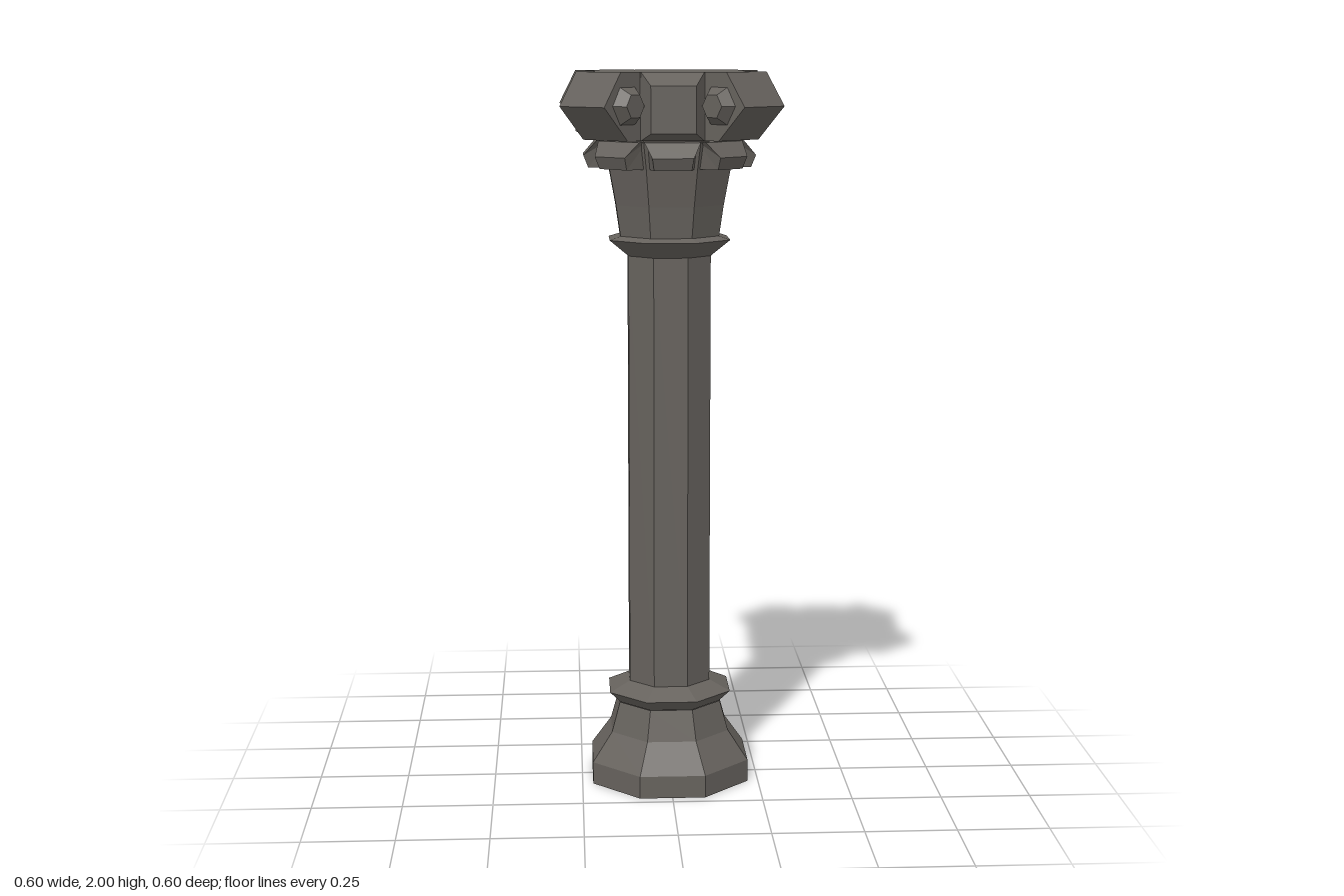
import * as THREE from 'three';

const SIDES = 8;
const material = new THREE.MeshStandardMaterial({ color: 0x66625d, flatShading: true, side: THREE.DoubleSide });

function addMesh(parent, name, geometry) {
  const mesh = new THREE.Mesh(geometry, material);
  mesh.name = name;
  parent.add(mesh);
  return mesh;
}

// Octagonal turned part with a flat facing the front; profile holds [apothem, y] from bottom to top
function octagonal(profile) {
  const k = 1 / Math.cos(Math.PI / SIDES);
  const points = profile.map(([r, y]) => new THREE.Vector2(r * k, y));
  return new THREE.LatheGeometry(points, SIDES, Math.PI / SIDES);
}

// Block projecting along +z; profile holds [z, y, halfWidth] from inner top, round the outside, to inner bottom
function block(profile) {
  const positions = [];
  const corner = (i, side) => {
    const [z, y, w] = profile[i];
    positions.push(side * w, y, z);
  };
  for (let i = 0; i < profile.length - 1; i++) {
    corner(i, -1); corner(i + 1, -1); corner(i + 1, 1);
    corner(i, -1); corner(i + 1, 1); corner(i, 1);
  }
  for (let i = 1; i < profile.length - 1; i++) {
    corner(0, 1); corner(i, 1); corner(i + 1, 1);
    corner(0, -1); corner(i + 1, -1); corner(i, -1);
  }
  const geometry = new THREE.BufferGeometry();
  geometry.setAttribute('position', new THREE.Float32BufferAttribute(positions, 3));
  geometry.computeVertexNormals();
  return geometry;
}

export function createModel() {
  const model = new THREE.Group();
  model.name = 'column';

  // Base, shaft and bell of the capital
  addMesh(model, 'base', octagonal([[0.22, 0], [0.22, 0.063], [0.165, 0.145], [0.142, 0.23]]));
  addMesh(model, 'baseRing', octagonal([[0.14, 0.23], [0.17, 0.262], [0.113, 0.29]]));
  addMesh(model, 'shaft', octagonal([[0.113, 0.29], [0.113, 1.5]]));
  addMesh(model, 'neckRing', octagonal([[0.113, 1.5], [0.165, 1.545], [0.135, 1.555]]));
  addMesh(model, 'bell', octagonal([[0.135, 1.555], [0.147, 1.64], [0.165, 1.74], [0.185, 1.82]]));

  // Abacus slab
  addMesh(model, 'abacus', octagonal([[0.17, 1.82], [0.203, 1.82], [0.203, 2], [0, 2]]));

  const leaf = block([[0.16, 1.82, 0.07], [0.2, 1.815, 0.075], [0.235, 1.775, 0.055],
    [0.222, 1.742, 0.05], [0.16, 1.742, 0.06]]);
  const faceBlock = block([[0.203, 2, 0.084], [0.255, 1.965, 0.06],
    [0.255, 1.84, 0.06], [0.203, 1.82, 0.084]]);
  const cornerBlock = block([[0.2, 2, 0.082], [0.277, 2, 0.082], [0.34, 1.91, 0.082],
    [0.251, 1.82, 0.082], [0.2, 1.82, 0.082]]);
  const stud = new THREE.CylinderGeometry(0.034, 0.057, 0.03, 6);

  // Leaves all round, with face and corner blocks alternating above them
  for (let i = 0; i < SIDES; i++) {
    const sector = new THREE.Group();
    sector.name = 'capitalSector';
    sector.rotation.y = i * Math.PI / 4;
    model.add(sector);
    addMesh(sector, 'leaf', leaf);
    if (i % 2 === 0) {
      addMesh(sector, 'faceBlock', faceBlock);
    } else {
      addMesh(sector, 'cornerBlock', cornerBlock);
      for (const side of [-1, 1]) {
        const boss = addMesh(sector, 'sideStud', stud);
        boss.position.set(side * 0.096, 1.912, 0.252);
        boss.rotation.z = -side * Math.PI / 2;
      }
    }
  }
  return model;
}
